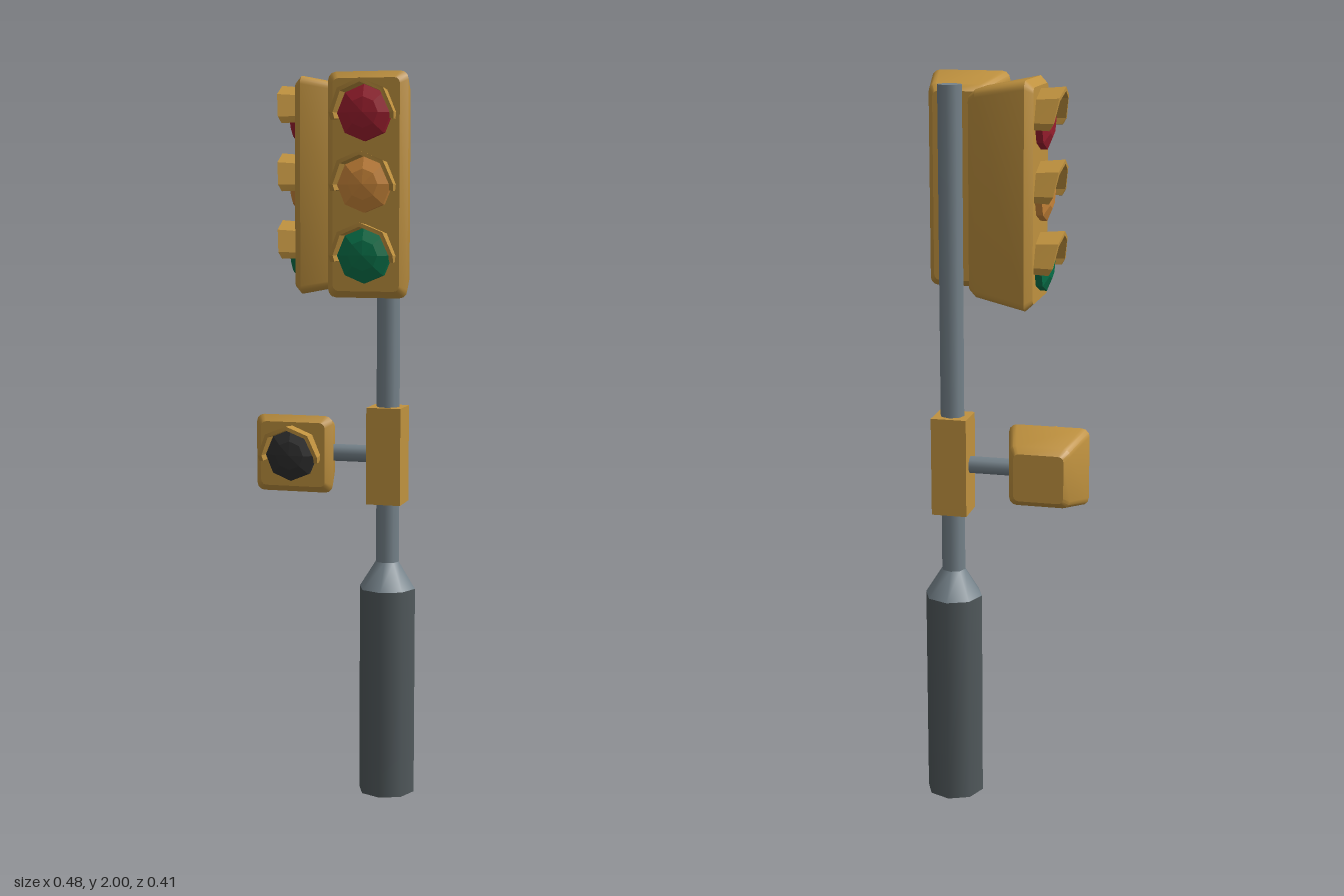
import * as THREE from 'three';
import { toCreasedNormals } from 'three/addons/utils/BufferGeometryUtils.js';

const mat = (color, opts = {}) => new THREE.MeshStandardMaterial({ color, ...opts });
const YELLOW = mat(0xc0923f);
const POLE = mat(0x75828a);
const BASE = mat(0x51595c);
const lensMat = (color) => mat(color, { flatShading: true });
const RED = lensMat(0xa02030), AMBER = lensMat(0xd08a3c), GREEN = lensMat(0x08754c), DARK = lensMat(0x303030);

function add(parent, name, geometry, material, x = 0, y = 0, z = 0) {
  const mesh = new THREE.Mesh(geometry, material);
  mesh.name = name;
  mesh.position.set(x, y, z);
  parent.add(mesh);
  return mesh;
}

// Skin a row of closed loops, with a cap at each end
function loft(loops, crease) {
  const n = loops[0].length, index = [];
  for (let i = 0; i < loops.length - 1; i++) {
    for (let j = 0; j < n; j++) {
      const a = i * n + j, b = i * n + (j + 1) % n;
      index.push(a, b, b + n, a, b + n, a + n);
    }
  }
  const last = (loops.length - 1) * n;
  for (let j = 1; j < n - 1; j++) index.push(0, j + 1, j, last, last + j, last + j + 1);
  const geometry = new THREE.BufferGeometry();
  geometry.setAttribute('position', new THREE.Float32BufferAttribute(loops.flat(2), 3));
  geometry.setIndex(index);
  return toCreasedNormals(geometry, crease);
}

// Rounded rectangle loop, counter-clockwise seen from the front
function roundedLoop(hw, hh, r, z) {
  const points = [];
  [[1, 1], [-1, 1], [-1, -1], [1, -1]].forEach(([sx, sy], q) => {
    for (let k = 0; k <= 3; k++) {
      const a = (q + k / 3) * Math.PI / 2;
      points.push([sx * (hw - r) + r * Math.cos(a), sy * (hh - r) + r * Math.sin(a), z]);
    }
  });
  return points;
}

// Tapered housing, front face at z = 0, bevelled at the front and back
function housing(hw, hh, depth) {
  return loft([
    roundedLoop(hw - 0.043, hh - 0.043, 0.015, -depth),
    roundedLoop(hw - 0.028, hh - 0.026, 0.02, -depth + 0.02),
    roundedLoop(hw, hh, 0.022, -0.02),
    roundedLoop(hw - 0.018, hh - 0.018, 0.015, 0),
  ], 0.6);
}

// Hood over a lens: half an octagonal sleeve, longest at the top
function visor() {
  const steps = [[-12, 0.04], [0, 0.05], [45, 0.06], [90, 0.065], [135, 0.06], [180, 0.05], [192, 0.04]];
  return loft(steps.map(([deg, front]) => {
    const a = THREE.MathUtils.degToRad(deg);
    const at = (r, z) => [r * Math.cos(a), r * Math.sin(a), z];
    return [at(0.07, -0.004), at(0.075, front), at(0.086, front), at(0.08, -0.004)];
  }), 0.3);
}

// Shallow octagonal dome
function lens() {
  const profile = [[0.073, -0.004], [0.073, 0.018], [0.04, 0.032], [0, 0.037]];
  const points = profile.map(([r, z]) => new THREE.Vector2(r, z));
  return new THREE.LatheGeometry(points, 8).rotateX(Math.PI / 2);
}

function addLamp(parent, material, y) {
  const lamp = new THREE.Group();
  lamp.name = 'lamp';
  lamp.position.y = y;
  add(lamp, 'lens', lens(), material);
  add(lamp, 'visor', visor(), YELLOW);
  parent.add(lamp);
}

function trafficSignal(name) {
  const signal = new THREE.Group();
  signal.name = name;
  const head = new THREE.Group();
  head.name = 'signalHead';
  head.position.set(0, 1.7075, 0.24);
  add(head, 'housing', housing(0.108, 0.2925, 0.175), YELLOW);
  [RED, AMBER, GREEN].forEach((m, i) => addLamp(head, m, 0.186 - i * 0.183));
  signal.add(head);
  return signal;
}

export function createModel() {
  const model = new THREE.Group();
  model.name = 'trafficLight';

  // Everything is placed around the pole axis
  const post = new THREE.Group();
  post.name = 'post';
  post.position.set(0.13, 0, -0.1);
  model.add(post);

  // Pole and base
  add(post, 'base', new THREE.CylinderGeometry(0.08, 0.08, 0.59, 8), BASE, 0, 0.295);
  add(post, 'baseCollar', new THREE.CylinderGeometry(0.033, 0.08, 0.075, 8), POLE, 0, 0.6275);
  add(post, 'pole', new THREE.CylinderGeometry(0.033, 0.033, 1.33, 8), POLE, 0, 1.315);

  // Control box and the arm to the crossing signal
  add(post, 'controlBox', new THREE.BoxGeometry(0.097, 0.27, 0.097), YELLOW, -0.001, 0.967);
  const arm = new THREE.CylinderGeometry(0.024, 0.024, 0.18, 8).rotateZ(Math.PI / 2);
  add(post, 'arm', arm, POLE, -0.12, 0.967);

  // Three-lamp heads facing forward and to the right
  post.add(trafficSignal('frontSignal'));
  const side = trafficSignal('sideSignal');
  side.rotation.y = -Math.PI / 2;
  post.add(side);

  // Single-lamp crossing signal
  const crossing = new THREE.Group();
  crossing.name = 'crossingSignal';
  crossing.position.set(-0.257, 0.967, 0.067);
  add(crossing, 'housing', housing(0.111, 0.108, 0.158), YELLOW);
  addLamp(crossing, DARK, 0);
  post.add(crossing);

  return model;
}
